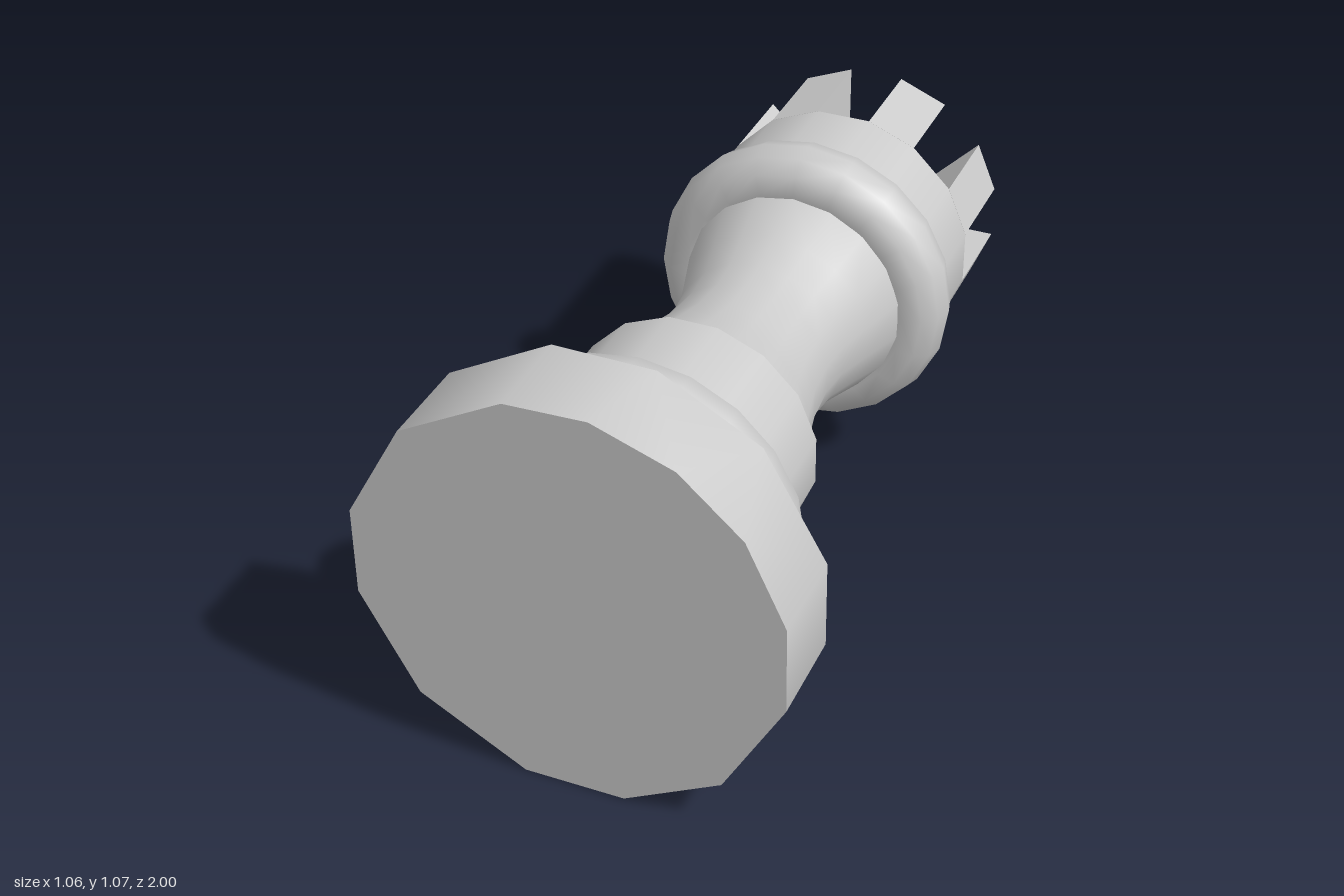
import * as THREE from 'three';
import { ConvexGeometry } from 'three/addons/geometries/ConvexGeometry.js';
import { toCreasedNormals } from 'three/addons/utils/BufferGeometryUtils.js';

const material = new THREE.MeshStandardMaterial({ color: 0xcccccc });

export function createModel() {
  const model = new THREE.Group();
  model.name = 'rook';

  // The piece is built upright around y, then laid down with its foot facing +z
  const piece = new THREE.Group();
  piece.name = 'lyingPiece';
  piece.rotation.x = -Math.PI / 2;
  piece.position.y = 0.537;
  model.add(piece);

  const add = (name, geometry, y = 0) => {
    const mesh = new THREE.Mesh(geometry, material);
    mesh.name = name;
    mesh.position.y = y;
    piece.add(mesh);
    return mesh;
  };
  const drum = (name, r, y0, y1, sides, start = 0) =>
    add(name, new THREE.CylinderGeometry(r, r, y1 - y0, sides, 1, false, start), (y0 + y1) / 2);
  const ring = (name, outer, tube, y) =>
    add(name, new THREE.TorusGeometry(outer - tube, tube, 12, 20).rotateX(Math.PI / 2), y);

  // Foot: a slab between two unevenly faceted rings
  const rim = (angles, y) => angles.map((deg) => {
    const a = THREE.MathUtils.degToRad(deg);
    return new THREE.Vector3(0.543 * Math.cos(a), y, 0.543 * Math.sin(a));
  });
  const foot = new ConvexGeometry([
    ...rim([12.5, 37, 59, 81.5, 103, 135, 167, 192, 224, 257, 284, 314, 348], -1),
    ...rim([12.5, 46, 76, 103, 135, 167, 192, 211, 233, 257, 284, 301, 328, 348], -0.76),
  ]);
  add('foot', toCreasedNormals(foot, 0.6));

  // Lower bulge and collar
  ring('lowerRing', 0.425, 0.122, -0.634);
  drum('collar', 0.323, -0.77, -0.27, 16, Math.PI / 16);

  // Waisted stem
  const waist = [
    [0.305, -0.3], [0.298, -0.27], [0.256, -0.15], [0.233, -0.05], [0.224, 0.06],
    [0.232, 0.15], [0.26, 0.25], [0.3, 0.38], [0.31, 0.47],
  ].map(([r, y]) => new THREE.Vector2(r, y));
  add('stem', new THREE.LatheGeometry(waist, 18));

  // Upper bulge and the solid part of the turret
  ring('upperRing', 0.405, 0.097, 0.473);
  const R = 0.366;
  drum('turret', R, 0.47, 0.74, 16, Math.PI / 16);

  // Eight wedge-shaped battlements left between four crossing slots
  const halfSlot = 0.073;
  const tip = halfSlot / Math.sin(Math.PI / 8);
  const half = Math.PI / 8 - Math.asin(halfSlot / R);
  const wedge = new THREE.Shape([
    new THREE.Vector2(tip, 0),
    new THREE.Vector2(R * Math.cos(half), -R * Math.sin(half)),
    new THREE.Vector2(R * Math.cos(half), R * Math.sin(half)),
  ]);
  const battlement = new THREE.ExtrudeGeometry(wedge, { depth: 0.26, bevelEnabled: false })
    .rotateX(-Math.PI / 2);
  for (let i = 0; i < 8; i++) {
    add('battlement' + (i + 1), battlement, 0.74).rotation.y = (i + 0.5) * Math.PI / 4;
  }

  return model;
}
